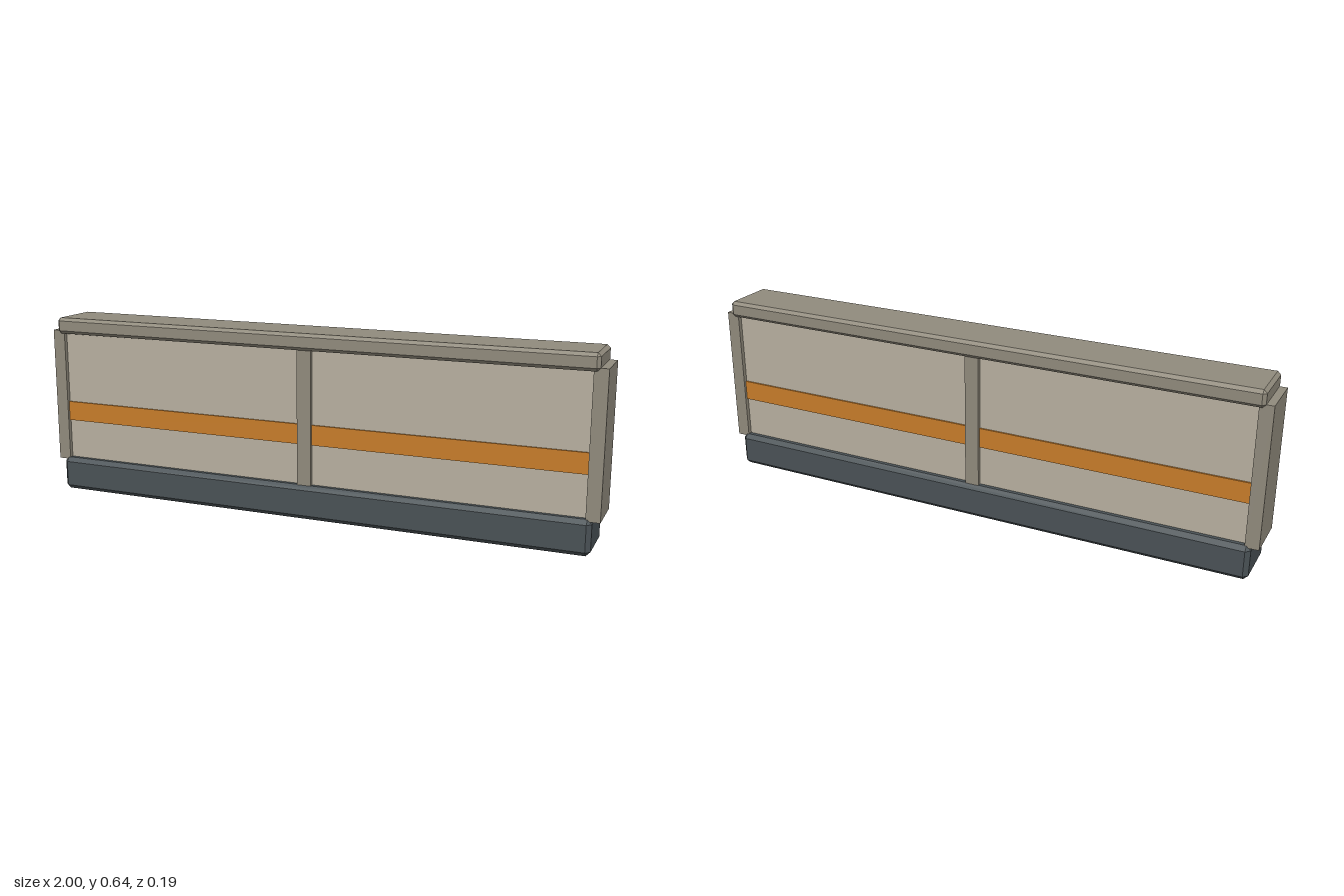
import * as THREE from 'three';
import { ConvexGeometry } from 'three/addons/geometries/ConvexGeometry.js';

const material = (name, color) => {
  const m = new THREE.MeshStandardMaterial({ color });
  m.name = name;
  return m;
};

// Box with every edge cut at 45 degrees
function chamferBox(w, h, d, c) {
  const points = [];
  const half = [w / 2, h / 2, d / 2];
  for (const sx of [-1, 1]) for (const sy of [-1, 1]) for (const sz of [-1, 1]) {
    for (let face = 0; face < 3; face++) {
      const p = half.map((v, i) => (i === face ? v : v - c));
      points.push(new THREE.Vector3(sx * p[0], sy * p[1], sz * p[2]));
    }
  }
  return new ConvexGeometry(points);
}

export function createModel() {
  const group = new THREE.Group();
  const panelMat = material('light concrete', 0xb8b0a0);
  const trimMat = material('grey concrete', 0x918b7d);
  const baseMat = material('dark slate', 0x4a5256);
  const stripeMat = material('orange', 0xc87d2a);

  const add = (name, geometry, mat, x, y, z) => {
    const mesh = new THREE.Mesh(geometry, mat);
    mesh.name = name;
    mesh.position.set(x, y, z);
    group.add(mesh);
  };

  // Base, wall and cap
  add('base', chamferBox(1.95, 0.12, 0.194, 0.015), baseMat, 0, 0.06, 0);
  add('wallPanel', new THREE.BoxGeometry(1.93, 0.49, 0.136), panelMat, 0, 0.355, 0);
  add('cap', chamferBox(1.95, 0.058, 0.194, 0.011), trimMat, 0, 0.616, 0);

  // End posts and centre post
  for (const s of [-1, 1]) {
    add(s > 0 ? 'leftPost' : 'rightPost', new THREE.BoxGeometry(0.046, 0.485, 0.166), trimMat, s * 0.977, 0.355, 0);
  }
  add('centrePost', new THREE.BoxGeometry(0.05, 0.485, 0.166), trimMat, 0, 0.355, 0);

  // Painted stripes on both faces, one per bay
  for (const sz of [-1, 1]) for (const sx of [-1, 1]) {
    add('stripe', new THREE.BoxGeometry(0.93, 0.07, 0.008), stripeMat, sx * 0.49, 0.296, sz * 0.07);
  }
  return group;
}
